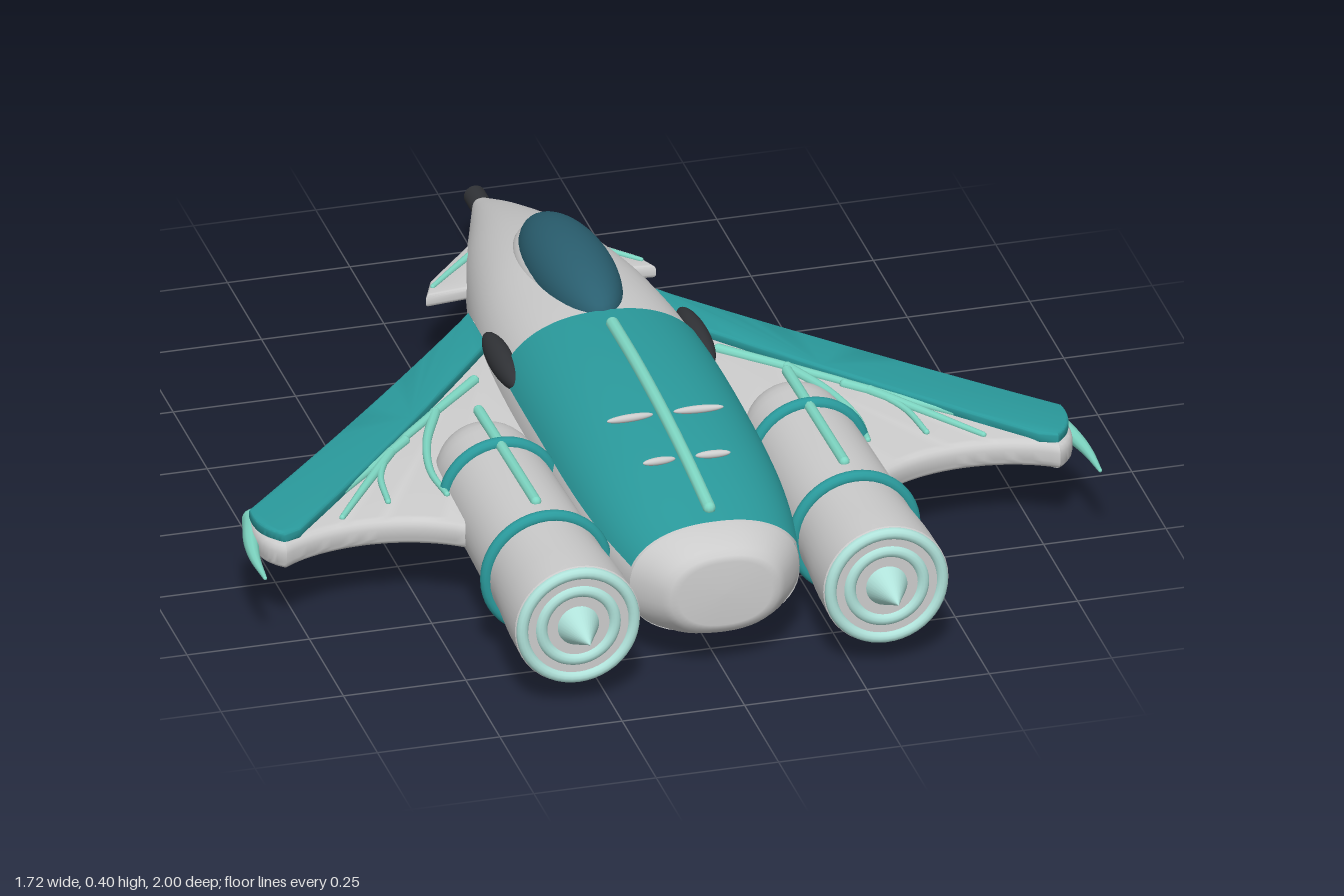
import * as THREE from 'three';
import { mergeGeometries, toCreasedNormals } from 'three/addons/utils/BufferGeometryUtils.js';

const mat = (color) => new THREE.MeshStandardMaterial({ color, side: THREE.DoubleSide });
const GREY = mat(0xcccccc), TEAL = mat(0x2a9a9c), MINT = mat(0x7fd8c4);
const PALE = mat(0xb0e2da), GLASS = mat(0x2a5f70), DARK = mat(0x303236);
const V = (x, y, z) => new THREE.Vector3(x, y, z);

function add(parent, name, geo, material, x = 0, y = 0, z = 0) {
  const mesh = new THREE.Mesh(geo, material);
  mesh.name = name;
  mesh.position.set(x, y, z);
  parent.add(mesh);
  return mesh;
}

// Skin over rounded sections [z, half width, top, bottom] between two angles
function loft(rings, a0 = 0, a1 = Math.PI * 2, grow = 0) {
  const n = 48, closed = a1 - a0 > 6.28, cols = closed ? n : n + 1, pos = [], idx = [];
  const power = (c) => Math.sign(c) * Math.abs(c) ** 0.87;
  rings.forEach(([z, hw, top, bottom]) => {
    const mid = (top + bottom) / 2, h = (top - bottom) / 2;
    for (let j = 0; j < cols; j++) {
      const t = a0 + (a1 - a0) * j / n;
      pos.push((hw + grow) * power(Math.cos(t)), mid + (h + grow) * power(Math.sin(t)), z);
    }
  });
  for (let i = 0; i < rings.length - 1; i++) for (let j = 0; j < n; j++) {
    const a = i * cols + j, b = i * cols + (j + 1) % cols;
    idx.push(a, b, a + cols, b, b + cols, a + cols);
  }
  const g = new THREE.BufferGeometry();
  g.setAttribute('position', new THREE.Float32BufferAttribute(pos, 3));
  g.setIndex(idx);
  g.computeVertexNormals();
  return g;
}

// Round-ended tube whose radius runs from r0 to r1
function taperTube(points, r0, r1 = r0) {
  const curve = new THREE.CatmullRomCurve3(points), seg = 24, sides = 10;
  const g = new THREE.TubeGeometry(curve, seg, 1, sides), p = g.attributes.position, v = V(0, 0, 0);
  for (let i = 0; i <= seg; i++) {
    const c = curve.getPointAt(i / seg), r = r0 + (r1 - r0) * i / seg;
    for (let j = 0; j <= sides; j++) {
      const k = i * (sides + 1) + j;
      v.fromBufferAttribute(p, k).sub(c).multiplyScalar(r).add(c);
      p.setXYZ(k, v.x, v.y, v.z);
    }
  }
  const ends = [[points[0], r0], [points.at(-1), r1]].map(([c, r]) =>
    new THREE.SphereGeometry(r, 10, 8).translate(c.x, c.y, c.z));
  return mergeGeometries([g, ...ends]);
}

// Flat plate drawn in plan (x, z), with rounded rim, between two heights
function plate(shape, low, high, bevel) {
  const g = new THREE.ExtrudeGeometry(shape, {
    depth: high - low - 2 * bevel, bevelThickness: bevel, bevelSize: bevel,
    bevelOffset: -bevel, bevelSegments: 4, curveSegments: 20,
  });
  g.rotateX(Math.PI / 2).translate(0, high - bevel, 0);
  return toCreasedNormals(g, 0.6);
}

const ellipsoid = (a, b, c) => new THREE.SphereGeometry(1, 40, 24).scale(a, b, c);

// Fuselage stations: z, half width, top, bottom
const STATIONS = [
  [-0.94, 0.016, 0.152, 0.118], [-0.8, 0.062, 0.212, 0.08], [-0.6, 0.126, 0.278, 0.043],
  [-0.4, 0.172, 0.322, 0.022], [-0.2, 0.202, 0.342, 0.009], [0, 0.214, 0.352, 0.003],
  [0.25, 0.216, 0.352, 0.005], [0.5, 0.21, 0.335, 0.018], [0.65, 0.196, 0.316, 0.036],
  [0.78, 0.174, 0.295, 0.06],
];
const section = new THREE.CubicInterpolant(
  STATIONS.map((s) => s[0]), STATIONS.flatMap((s) => s.slice(1)), 3);
const stationsBetween = (z0, z1, n) => Array.from({ length: n + 1 }, (_, i) => {
  const z = z0 + (z1 - z0) * i / n;
  return [z, ...section.evaluate(z)];
});

function buildWing(side) {
  const wing = new THREE.Group();
  wing.name = 'wing';
  const s = new THREE.Shape();
  s.moveTo(0.12, -0.36);
  s.lineTo(0.2, -0.35);
  s.quadraticCurveTo(0.46, -0.03, 0.83, 0.34);
  s.quadraticCurveTo(0.85, 0.44, 0.79, 0.48);
  s.bezierCurveTo(0.69, 0.41, 0.53, 0.41, 0.43, 0.49);
  s.lineTo(0.12, 0.58);
  add(wing, 'wingPanel', plate(s, 0.148, 0.207, 0.02), GREY);

  const e = new THREE.Shape();
  e.moveTo(0.19, -0.345);
  e.quadraticCurveTo(0.46, -0.03, 0.83, 0.345);
  e.quadraticCurveTo(0.84, 0.42, 0.79, 0.465);
  e.lineTo(0.755, 0.45);
  e.quadraticCurveTo(0.47, 0.14, 0.19, -0.21);
  add(wing, 'leadingEdge', plate(e, 0.2, 0.226, 0.007), TEAL);

  // Raised veins, plan coordinates
  [[[0.25, -0.09], [0.38, 0.04], [0.49, 0.16], [0.535, 0.25], [0.55, 0.36]],
    [[0.45, 0.12], [0.58, 0.25], [0.74, 0.41]],
    [[0.49, 0.16], [0.58, 0.29], [0.655, 0.4]],
    [[0.36, 0.02], [0.41, 0.14], [0.435, 0.26], [0.43, 0.36]],
  ].forEach((line) => add(wing, 'wingVein',
    taperTube(line.map(([x, z]) => V(x, 0.209, z)), 0.011, 0.006), MINT));
  add(wing, 'wingTipSpike', taperTube(
    [V(0.812, 0.18, 0.31), V(0.838, 0.178, 0.39), V(0.85, 0.176, 0.46), V(0.853, 0.175, 0.545)],
    0.023, 0.004), MINT);
  side.add(wing);
}

function buildEngine(side) {
  const engine = new THREE.Group();
  engine.name = 'engine';
  engine.position.set(0.315, 0.18, 0);
  const lathe = (pts) => toCreasedNormals(new THREE.LatheGeometry(
    pts.map(([r, z]) => new THREE.Vector2(r, z)), 40).rotateX(Math.PI / 2), 0.7);
  const dome = Array.from({ length: 9 }, (_, i) => {
    const a = i / 8 * Math.PI / 2;
    return [0.106 * Math.sin(a), 0.255 - 0.12 * Math.cos(a)];
  });
  add(engine, 'nacelle', lathe([...dome, [0.111, 0.36], [0.117, 0.6], [0.118, 0.72],
    [0.126, 0.82], [0.128, 0.905], [0.12, 0.912], [0, 0.912]]), GREY);
  [[0.335, 0.113], [0.675, 0.122]].forEach(([z, r]) =>
    add(engine, 'engineBand', new THREE.TorusGeometry(r, 0.013, 12, 48), TEAL, 0, 0, z));
  // Exhaust: concentric rings and a spike
  add(engine, 'exhaustRim', new THREE.TorusGeometry(0.114, 0.012, 12, 48), PALE, 0, 0, 0.909);
  add(engine, 'exhaustInnerRing', new THREE.TorusGeometry(0.075, 0.013, 12, 48), PALE, 0, 0, 0.907);
  add(engine, 'exhaustSpike', new THREE.ConeGeometry(0.048, 0.1, 32).rotateX(Math.PI / 2),
    PALE, 0, 0, 0.95);
  add(engine, 'engineStrip', taperTube([V(0, 0.108, 0.18), V(0, 0.113, 0.39), V(0, 0.118, 0.6)], 0.011), MINT);
  side.add(engine);
}

function buildSide(side) {
  buildWing(side);
  buildEngine(side);
  // Small foreplane beside the nose
  const c = new THREE.Shape();
  [[0.06, -0.69], [0.1, -0.68], [0.21, -0.555], [0.235, -0.495], [0.13, -0.505], [0.06, -0.505]]
    .forEach(([x, z], i) => (i ? c.lineTo(x, z) : c.moveTo(x, z)));
  add(side, 'foreplane', plate(c, 0.164, 0.192, 0.008), GREY);
  add(side, 'foreplaneStripe', taperTube([V(0.11, 0.193, -0.63), V(0.165, 0.193, -0.575), V(0.213, 0.193, -0.525)], 0.008, 0.005), MINT);
  add(side, 'intake', ellipsoid(0.026, 0.03, 0.115), DARK, 0.198, 0.255, -0.07);
  // Little spines on the deck
  [[0.41, 0.1, 0.353], [0.57, 0.07, 0.336]].forEach(([z, length, y]) => {
    const spine = add(side, 'deckSpine', ellipsoid(length / 2, 0.008, 0.008), GREY, 0.02 + length / 2, y, z);
    spine.rotation.set(0, -0.15, 0.05);
  });
}

export function createModel() {
  const model = new THREE.Group();
  model.name = 'starfighter';

  add(model, 'fuselage', loft(stationsBetween(-0.94, 0.78, 60)), GREY);
  add(model, 'tailBlock', loft([[0.775, 0.174, 0.295, 0.06], [0.81, 0.152, 0.288, 0.07],
    [0.845, 0.126, 0.272, 0.088], [0.858, 0.112, 0.262, 0.1], [0.862, 0.095, 0.25, 0.112],
    [0.863, 0, 0.181, 0.181]]), GREY);
  add(model, 'deckPlate', loft(stationsBetween(-0.04, 0.78, 32), 0.33, Math.PI - 0.33, 0.005), TEAL);

  // Central rib following the deck
  add(model, 'deckRib', taperTube([0.03, 0.2, 0.4, 0.58, 0.74].map((z) =>
    V(0, section.evaluate(z)[1] + 0.009, z)), 0.013), MINT);

  // Canopy in its raised surround
  const canopy = add(model, 'canopy', ellipsoid(0.083, 0.078, 0.245), GLASS, 0, 0.325, -0.277);
  const frame = add(model, 'canopyFrame', ellipsoid(0.09, 0.042, 0.24), GREY, 0, 0.312, -0.302);
  canopy.rotation.x = frame.rotation.x = -0.085;

  // Nose probe
  add(model, 'noseProbe', new THREE.CylinderGeometry(0.022, 0.022, 0.055, 24).rotateX(Math.PI / 2),
    DARK, 0, 0.135, -0.955);
  add(model, 'noseTip', new THREE.SphereGeometry(0.02, 24, 16), MINT, 0, 0.135, -0.98);

  // Left half, then its mirror
  [1, -1].forEach((s) => {
    const side = new THREE.Group();
    side.name = s > 0 ? 'leftSide' : 'rightSide';
    buildSide(side);
    side.scale.x = s;
    model.add(side);
  });
  return model;
}
